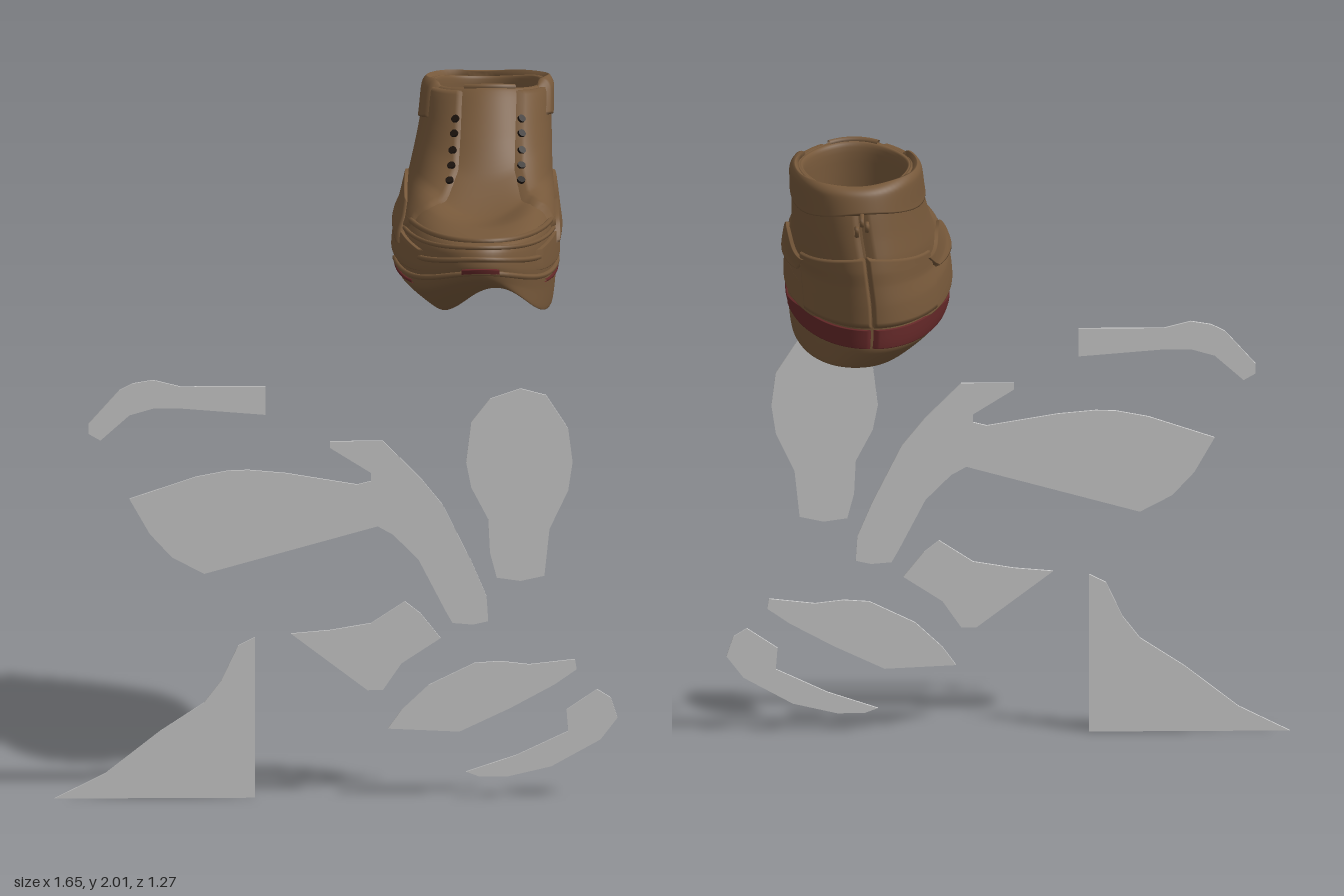
import * as THREE from 'three';
import { ParametricGeometry } from 'three/addons/geometries/ParametricGeometry.js';

const mat = (color) => new THREE.MeshStandardMaterial({ color, roughness: 0.8, side: THREE.DoubleSide });
const leather = mat(0x76583a), red = mat(0x642828), dark = mat(0x1c130d), grey = mat(0xcccccc);

// Tilted rings from sole to collar: zFront, yFront, ySide, zBack, yBack, centreX, halfWidth
const RINGS = [
  [0.55, 1.54, 1.43, -0.53, 1.44, 0.465, 0.155],
  [0.58, 1.53, 1.405, -0.56, 1.42, 0.465, 0.18],
  [0.615, 1.56, 1.48, -0.6, 1.48, 0.425, 0.23],
  [0.63, 1.6, 1.55, -0.602, 1.55, 0.42, 0.238],
  [0.62, 1.645, 1.62, -0.602, 1.62, 0.423, 0.232],
  [0.585, 1.665, 1.66, -0.6, 1.68, 0.43, 0.22],
  [0.42, 1.678, 1.7, -0.6, 1.72, 0.435, 0.21],
  [0.24, 1.672, 1.745, -0.595, 1.76, 0.44, 0.2],
  [0.1, 1.76, 1.82, -0.585, 1.82, 0.45, 0.19],
  [0, 1.87, 1.89, -0.575, 1.88, 0.457, 0.182],
  [-0.1, 1.975, 1.965, -0.56, 1.94, 0.463, 0.178],
  [-0.13, 1.995, 1.98, -0.54, 1.95, 0.465, 0.164],
  [-0.15, 1.95, 1.94, -0.525, 1.92, 0.463, 0.15],
  [-0.13, 1.53, 1.53, -0.53, 1.53, 0.455, 0.155],
];
const V0 = -1, V1 = RINGS.length - 2;

// Smooth interpolation between neighbouring rings
function ringAt(v) {
  const f = THREE.MathUtils.clamp(v + 1, 0, RINGS.length - 1);
  const i = Math.min(Math.floor(f), RINGS.length - 2), t = f - i;
  const at = (k) => RINGS[THREE.MathUtils.clamp(k, 0, RINGS.length - 1)];
  return RINGS[0].map((_, k) => {
    const a = at(i)[k], b = at(i + 1)[k];
    const m0 = (b - at(i - 1)[k]) * 0.35, m1 = (at(i + 2)[k] - a) * 0.35;
    const t2 = t * t, t3 = t2 * t;
    return (2 * t3 - 3 * t2 + 1) * a + (t3 - 2 * t2 + t) * m0 + (3 * t2 - 2 * t3) * b + (t3 - t2) * m1;
  });
}

// Point on the shoe: u runs round it from the toe, v climbs the rings
function rawPoint(u, v) {
  const [zF, yF, yM, zB, yB, cx, w] = ringAt(v);
  const a = u * Math.PI * 2, c = Math.cos(a), s = Math.sin(a);
  const y = c > 0 ? yM + (yF - yM) * c ** 4 : yM + (yB - yM) * c * c;
  const x = cx + w * Math.sign(s) * Math.abs(s) ** 0.95;
  return new THREE.Vector3(x, y, (zF + zB) / 2 + ((zF - zB) / 2) * c);
}
function normalAt(u, v) {
  const du = rawPoint(u + 0.003, v).sub(rawPoint(u - 0.003, v));
  const dv = rawPoint(u, v + 0.03).sub(rawPoint(u, v - 0.03));
  return du.cross(dv).normalize();
}
const skin = (u, v, off = 0) => rawPoint(u, v).addScaledVector(normalAt(u, v), off);

export function createModel() {
  const group = new THREE.Group();
  const shoe = new THREE.Group();
  shoe.name = 'shoe';
  group.add(shoe);
  const add = (name, geo, material, parent = shoe) => {
    const mesh = new THREE.Mesh(geo, material);
    mesh.name = name;
    parent.add(mesh);
    return mesh;
  };
  const surface = (name, fn, su, sv, material) =>
    add(name, new ParametricGeometry((u, v, target) => target.copy(fn(u, v)), su, sv), material);

  // Raised panel laid on the shoe, thinning to nothing along its edges
  const patch = (name, uv, h, material, mirrored = false) =>
    surface(name, (s, t) => {
      const edge = Math.min(s, 1 - s, t, 1 - t);
      const [u, v] = uv(mirrored ? 1 - s : s, t);
      return skin(mirrored ? 1 - u : u, v, h * Math.min(1, edge / 0.04) - 0.002);
    }, 50, 26, material);
  // Piped seam following the shoe
  const seam = (name, uvs, r = 0.006, material = leather) =>
    add(name, new THREE.TubeGeometry(
      new THREE.CatmullRomCurve3(uvs.map(([u, v]) => skin(u, v, 0.002))), 60, r, 6), material);
  const arc = (u0, u1, v, n = 16) =>
    Array.from({ length: n + 1 }, (_, i) => [u0 + ((u1 - u0) * i) / n, v]);

  // Upper, outsole wall and lining in one skin
  surface('upper', (u, v) => rawPoint(u, V0 + v * (V1 - V0)), 96, 84, leather);

  // Footbed, seen through the collar and from below
  surface('footbed', (u, t) => {
    const p = rawPoint(u, 1.1);
    return new THREE.Vector3(0.44, 1.495, 0).lerp(p, t * 0.99);
  }, 72, 8, red);

  // Front edge of the lace flaps as an angle for each height
  const flapEdge = (v) => {
    const pts = [[2.4, 0.23], [3.5, 0.19], [4.5, 0.165], [5.2, 0.13], [6, 0.09], [7, 0.066], [9.5, 0.068]];
    let i = 0;
    while (i < pts.length - 2 && v > pts[i + 1][0]) i++;
    return THREE.MathUtils.mapLinear(v, pts[i][0], pts[i + 1][0], pts[i][1], pts[i + 1][1]);
  };

  for (const mirrored of [false, true]) {
    const side = mirrored ? 'right' : 'left';
    const m = (u) => (mirrored ? 1 - u : u);
    patch(side + 'Quarter', (s, t) => {
      const v = 2.4 + t * 7.1, e = flapEdge(v);
      return [e + (0.5 - e) * s, v];
    }, 0.012, leather, mirrored);
    // Layered side panels
    patch(side + 'SidePanel', (s, t) =>
      [0.19 + 0.15 * s + 0.02 * t, 2.5 + 1.2 * s + t * (2.2 + 0.7 * Math.sin(s * 5))], 0.022, leather, mirrored);
    patch(side + 'HeelCounter', (s, t) =>
      [0.36 + 0.14 * s - 0.03 * t * (1 - s), 2 + t * (3.6 + 0.6 * s)], 0.018, leather, mirrored);
    patch(side + 'Foxing', (s, t) =>
      [0.12 + 0.27 * s, 1.9 + t * (0.9 + 0.5 * Math.sin(s * Math.PI))], 0.012, leather, mirrored);
    // Eyelets
    for (let i = 0; i < 5; i++) {
      const v = 6.6 + i * 0.43, u = m(0.086 - i * 0.001);
      const hole = add(side + 'Eyelet', new THREE.CylinderGeometry(0.012, 0.012, 0.008, 14), dark);
      hole.position.copy(skin(u, v, 0.011));
      hole.quaternion.setFromUnitVectors(new THREE.Vector3(0, 1, 0), normalAt(u, v));
    }
    // Red stripe thinning forward along the sole
    patch(side + 'HeelStripe', (s, t) =>
      [0.27 + 0.23 * s, 1.15 + t * (0.3 + 0.5 * Math.min(1, s * 3))], 0.008, red, mirrored);
    seam(side + 'SoleLine', arc(m(0.15), m(0.3), 1.35), 0.005, red);
  }

  // Padded collar
  patch('collarPad', (s, t) => {
    const u = 0.16 + 0.68 * s;
    return [u, 7.9 + 0.25 * Math.cos(s * 12) + t * 1.9];
  }, 0.019, leather);
  // Tongue rim
  seam('tongueRim', arc(-0.07, 0.07, 10), 0.009);

  // Toe stitching and welt
  seam('apronSeam', arc(-0.2, 0.2, 4.1, 24), 0.009);
  seam('toeSeam', arc(-0.2, 0.2, 3.4, 24), 0.007);
  seam('toeGuardSeam', arc(-0.22, 0.22, 2.5, 24), 0.008);
  seam('welt', arc(-0.24, 0.24, 1.6, 24), 0.008);
  patch('toeMark', (s, t) => [-0.035 + 0.07 * s, 1.55 + 0.35 * t], 0.011, red);

  // Heel pull tab
  [[0, 1.88, 0.026], [-0.015, 1.86, 0.022], [0.015, 1.845, 0.02]].forEach(([dx, y, r], i) => {
    const loop = add('pullTab', new THREE.TorusGeometry(r, 0.007, 6, 16), leather);
    loop.position.set(0.45 + dx, y, -0.598);
    loop.rotation.set(0.3 * i, Math.PI / 2, 0);
    loop.scale.y = 0.6;
  });

  // Flat cutting pieces standing in one plane: x, y pairs
  const pieces = {
    collarPiece: [-0.73, 1.09, -0.73, 1.12, -0.64, 1.22, -0.6, 1.24, -0.54, 1.25, -0.46, 1.23, -0.21, 1.23,
      -0.21, 1.145, -0.46, 1.165, -0.54, 1.165, -0.61, 1.145, -0.695, 1.07],
    quarterPiece: [-0.61, 0.895, -0.415, 0.96, -0.32, 0.978, -0.26, 0.98, -0.15, 0.97, 0.06, 0.935, 0.1, 0.945,
      0.1, 0.97, -0.02, 1.045, -0.02, 1.065, 0.135, 1.065, 0.245, 0.955, 0.31, 0.875, 0.395, 0.705, 0.44, 0.6,
      0.445, 0.525, 0.4, 0.515, 0.34, 0.52, 0.32, 0.555, 0.24, 0.71, 0.165, 0.785, 0.12, 0.81, -0.39, 0.67,
      -0.485, 0.72, -0.55, 0.79],
    insolePiece: [0.54, 1.22, 0.45, 1.19, 0.395, 1.12, 0.38, 1, 0.395, 0.925, 0.445, 0.83, 0.45, 0.73, 0.47, 0.655,
      0.54, 0.645, 0.61, 0.66, 0.625, 0.8, 0.68, 0.915, 0.693, 1, 0.68, 1.1, 0.615, 1.2],
    sidePiece: [-0.135, 0.49, -0.02, 0.5, 0.1, 0.52, 0.2, 0.585, 0.245, 0.55, 0.305, 0.475, 0.19, 0.4,
      0.135, 0.32, 0.09, 0.32],
    vampPiece: [0.15, 0.205, 0.19, 0.26, 0.27, 0.335, 0.405, 0.4, 0.48, 0.405, 0.565, 0.395, 0.7, 0.41, 0.705, 0.38,
      0.64, 0.335, 0.51, 0.265, 0.36, 0.195],
    toePiece: [0.38, 0.075, 0.53, 0.125, 0.68, 0.195, 0.675, 0.26, 0.765, 0.32, 0.805, 0.295, 0.825, 0.235,
      0.775, 0.17, 0.63, 0.09, 0.5, 0.06, 0.42, 0.06],
    cornerPiece: [-0.83, 0, -0.68, 0.075, -0.52, 0.2, -0.39, 0.285, -0.34, 0.35, -0.29, 0.455, -0.24, 0.48, -0.24, 0],
  };
  const sheet = new THREE.Group();
  sheet.name = 'cuttingPieces';
  group.add(sheet);
  for (const [name, p] of Object.entries(pieces)) {
    const pts = [];
    for (let i = 0; i < p.length; i += 2) pts.push(new THREE.Vector2(p[i], p[i + 1]));
    const geo = new THREE.ExtrudeGeometry(new THREE.Shape(pts), { depth: 0.008, bevelEnabled: false });
    add(name, geo, grey, sheet).position.z = 0.53;
  }
  return group;
}
